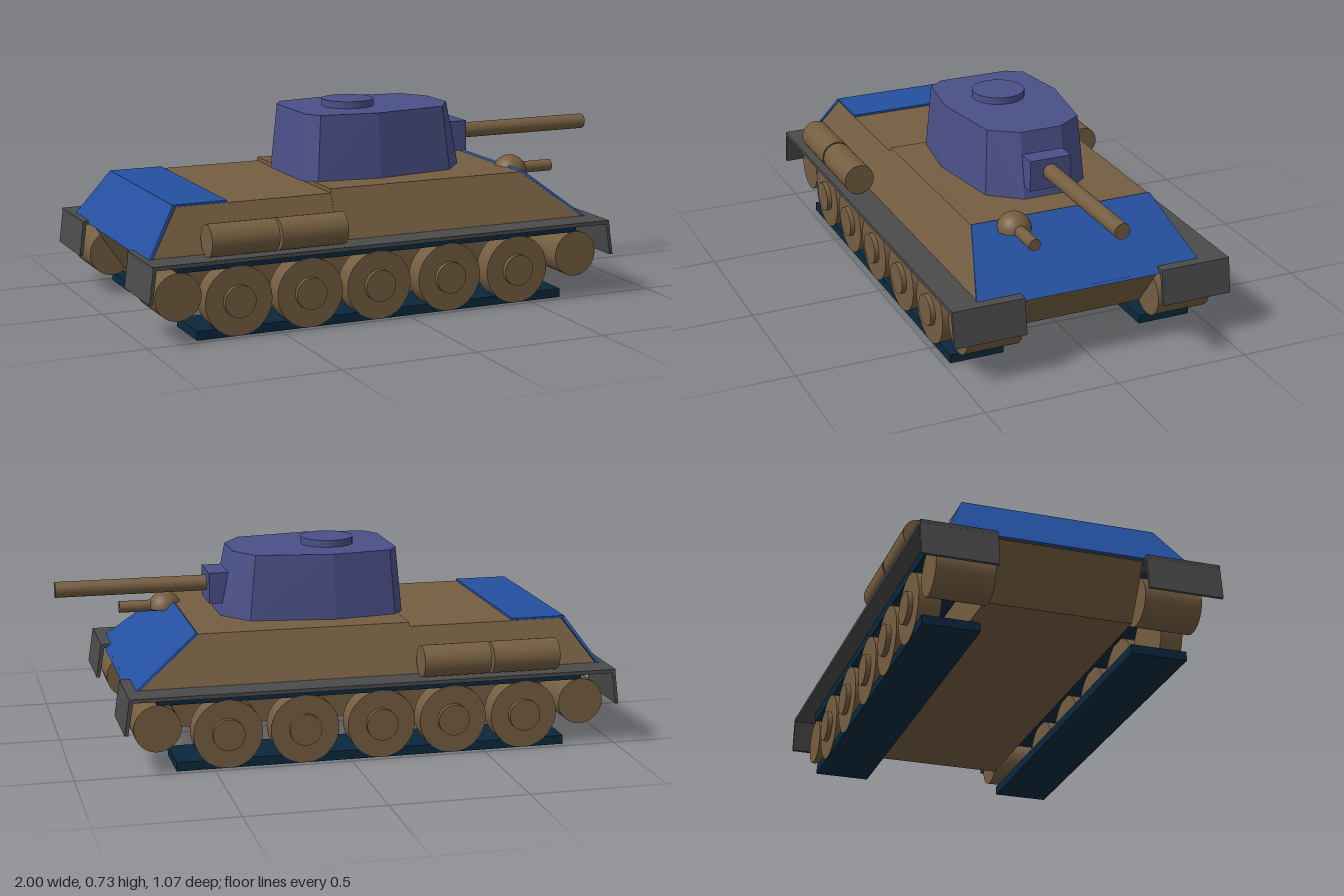
import * as THREE from 'three';
import { ConvexGeometry } from 'three/addons/geometries/ConvexGeometry.js';

const mat = (name, color) => {
  const m = new THREE.MeshStandardMaterial({ color });
  m.name = name;
  return m;
};

export function createModel() {
  const tan = mat('tan', 0x755e41);
  const blue = mat('panelBlue', 0x2450a0);
  const violet = mat('turretViolet', 0x4a5088);
  const grey = mat('fenderGrey', 0x4b4b4b);
  const navy = mat('trackNavy', 0x0b283e);

  const model = new THREE.Group();
  model.name = 'tank';
  const add = (name, geometry, material, x = 0, y = 0, z = 0) => {
    const mesh = new THREE.Mesh(geometry, material);
    mesh.name = name;
    mesh.position.set(x, y, z);
    model.add(mesh);
    return mesh;
  };
  // Box given by its limits on each axis
  const box = (name, m, x0, x1, y0, y1, z0, z1) =>
    add(name, new THREE.BoxGeometry(x1 - x0, y1 - y0, z1 - z0), m, (x0 + x1) / 2, (y0 + y1) / 2, (z0 + z1) / 2);
  // Flat-faced solid from [x, y, halfWidth] points mirrored across z
  const solid = (name, m, points) =>
    add(name, new ConvexGeometry(points.flatMap(([x, y, w]) =>
      [new THREE.Vector3(x, y, w), new THREE.Vector3(x, y, -w)])), m);
  // Flat-faced solid from an [x, y] outline between two z limits
  const slab = (name, m, outline, z0, z1) =>
    add(name, new ConvexGeometry(outline.flatMap(([x, y]) =>
      [new THREE.Vector3(x, y, z0), new THREE.Vector3(x, y, z1)])), m);
  // Cylinder lying along x
  const rodX = (name, m, r, x0, x1, y, z) =>
    add(name, new THREE.CylinderGeometry(r, r, x1 - x0, 32).rotateZ(Math.PI / 2), m, (x0 + x1) / 2, y, z);
  // Cylinder lying along z
  const rodZ = (name, m, r, z0, z1, x, y) =>
    add(name, new THREE.CylinderGeometry(r, r, Math.abs(z1 - z0), 40).rotateX(Math.PI / 2), m, x, y, (z0 + z1) / 2);

  // Hull
  solid('lowerHull', tan, [[-0.83, 0.1, 0.265], [0.64, 0.1, 0.265], [0.78, 0.28, 0.265], [-0.95, 0.28, 0.265]]);
  solid('frontHull', tan, [[-0.25, 0.28, 0.43], [0.775, 0.28, 0.43], [-0.25, 0.465, 0.348], [0.53, 0.465, 0.348]]);
  solid('rearHull', tan, [[-0.955, 0.28, 0.43], [-0.25, 0.28, 0.43], [-0.835, 0.45, 0.352], [-0.25, 0.45, 0.352]]);

  // Coloured hull plates
  solid('frontPlate', blue, [
    [0.53, 0.463, 0.35], [0.78, 0.27, 0.437],
    [0.537, 0.471, 0.35], [0.79, 0.272, 0.437]]);
  solid('rearSlopePlate', blue, [
    [-0.84, 0.448, 0.353], [-0.958, 0.28, 0.434],
    [-0.848, 0.456, 0.353], [-0.967, 0.283, 0.434]]);
  box('rearDeckPlate', blue, -0.848, -0.645, 0.449, 0.458, -0.35, 0.35);

  // Turret: ten-sided tapered shell
  const base = [[-0.278, 0.145], [-0.235, 0.21], [0, 0.243], [0.31, 0.197], [0.402, 0.085]];
  const roof = [[-0.255, 0.135], [-0.218, 0.192], [0, 0.224], [0.285, 0.18], [0.352, 0.08]];
  solid('turret', violet, [
    ...base.map(([x, w]) => [x, 0.46, w]),
    ...roof.map(([x, w]) => [x, 0.705, w])]);
  add('hatch', new THREE.CylinderGeometry(0.098, 0.098, 0.03, 40), violet, -0.023, 0.716, 0);
  box('mantlet', violet, 0.34, 0.44, 0.51, 0.625, -0.08, 0.08);
  rodX('gunBarrel', tan, 0.029, 0.4, 1.0, 0.574, 0);

  // Hull gun under a half dome
  add('hullGunDome', new THREE.SphereGeometry(0.063, 32, 12, 0, Math.PI * 2, 0, Math.PI / 2), tan, 0.565, 0.44, 0.2);
  add('hullGunDomeBase', new THREE.CircleGeometry(0.063, 32).rotateX(Math.PI / 2), tan, 0.565, 0.44, 0.2);
  rodX('hullGunBarrel', tan, 0.022, 0.565, 0.74, 0.45, 0.2);

  for (const s of [1, -1]) {
    const side = s > 0 ? 'right' : 'left';
    const z = (a, b) => (s > 0 ? [a, b] : [-b, -a]);

    // Fender with hanging end flaps
    box(side + 'Fender', grey, -0.985, 0.805, 0.277, 0.291, ...z(0.265, 0.535));
    slab(side + 'FrontFlap', grey, [[0.79, 0.291], [0.805, 0.291], [0.825, 0.16], [0.812, 0.16]], ...z(0.265, 0.535));
    slab(side + 'RearFlap', grey, [[-0.97, 0.291], [-0.983, 0.291], [-1.0, 0.16], [-0.988, 0.16]], ...z(0.265, 0.535));

    // Track runs
    box(side + 'UpperTrack', navy, -0.875, 0.7, 0.245, 0.277, ...z(0.27, 0.475));
    box(side + 'LowerTrack', navy, -0.81, 0.635, 0, 0.033, ...z(0.27, 0.475));

    // Road wheels with hubs
    for (const x of [-0.654, -0.384, -0.115, 0.168, 0.448]) {
      rodZ(side + 'RoadWheel', tan, 0.125, s * 0.397, s * 0.477, x, 0.126);
      rodZ(side + 'WheelHub', tan, 0.058, s * 0.46, s * 0.495, x, 0.126);
    }
    // End wheels
    for (const x of [-0.875, 0.7]) rodZ(side + 'EndWheel', tan, 0.085, s * 0.265, s * 0.472, x, 0.16);

    // Fuel drums
    for (const x of [-0.77, -0.51]) rodX(side + 'FuelDrum', tan, 0.058, x, x + 0.25, 0.35, s * 0.475);
  }
  return model;
}
